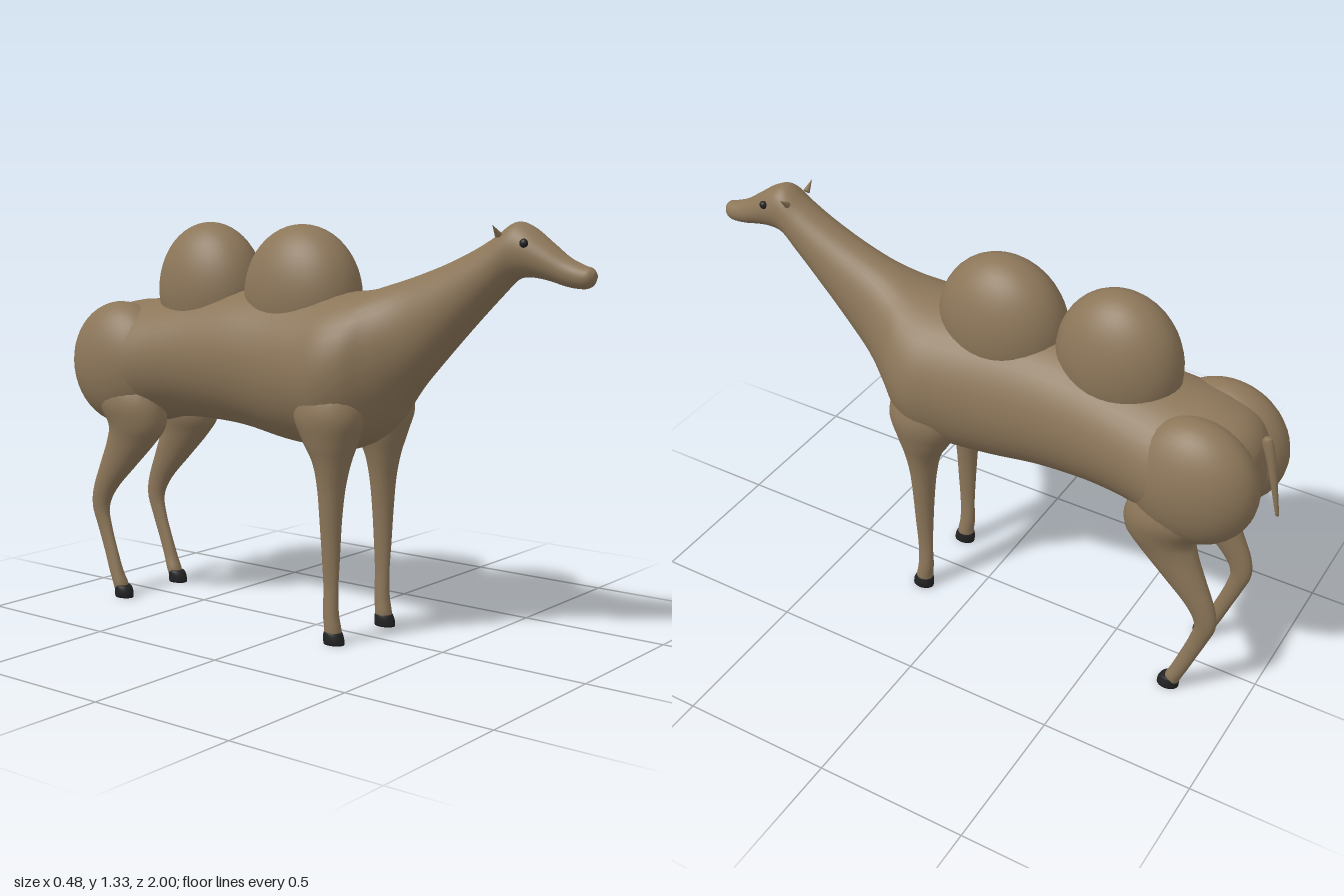
import * as THREE from 'three';

const hide = new THREE.MeshStandardMaterial({ color: 0x8c7659 });
hide.name = 'brownHide';
const dark = new THREE.MeshStandardMaterial({ color: 0x222222 });
dark.name = 'darkHoof';

// Smooth skin through oval sections [along, hLow, hHigh, xLow, xHigh].
// place(x, h, along) turns section coordinates into a point.
function loft(sections, place, rings = 60, sides = 32) {
  const heights = new THREE.CatmullRomCurve3(
    sections.map(s => new THREE.Vector3(s[0], s[1], s[2])), false, 'catmullrom', 0.5);
  const widths = new THREE.CatmullRomCurve3(
    sections.map(s => new THREE.Vector3(s[0], s[3], s[4])), false, 'catmullrom', 0.5);
  const pos = [], idx = [];
  for (let i = 0; i <= rings; i++) {
    const h = heights.getPoint(i / rings), w = widths.getPoint(i / rings);
    for (let j = 0; j < sides; j++) {
      const t = j / sides * Math.PI * 2;
      pos.push(...place(
        (w.y + w.z) / 2 + (w.z - w.y) / 2 * Math.cos(t),
        (h.y + h.z) / 2 + (h.z - h.y) / 2 * Math.sin(t), h.x));
    }
  }
  for (let i = 0; i < rings; i++) {
    for (let j = 0; j < sides; j++) {
      const k = (j + 1) % sides;
      const a = i * sides + j, b = i * sides + k, c = b + sides, d = a + sides;
      idx.push(a, b, c, a, c, d);
    }
  }
  // close both ends with a centre point
  for (const end of [0, 1]) {
    const s = sections[end ? sections.length - 1 : 0];
    const centre = pos.length / 3, base = end * rings * sides;
    pos.push(...place((s[3] + s[4]) / 2, (s[1] + s[2]) / 2, s[0]));
    for (let j = 0; j < sides; j++) {
      const k = (j + 1) % sides;
      if (end) idx.push(centre, base + j, base + k);
      else idx.push(centre, base + k, base + j);
    }
  }
  const geo = new THREE.BufferGeometry();
  geo.setAttribute('position', new THREE.Float32BufferAttribute(pos, 3));
  geo.setIndex(idx);
  geo.computeVertexNormals();
  return geo;
}

const alongZ = (x, h, a) => [x, h, a];
const alongY = (x, h, a) => [x, a, h];

export function createModel() {
  const model = new THREE.Group();
  model.name = 'camel';

  function add(name, geo, mat, x = 0, y = 0, z = 0) {
    const mesh = new THREE.Mesh(geo, mat);
    mesh.name = name;
    mesh.position.set(x, y, z);
    model.add(mesh);
    return mesh;
  }
  function ellipsoid(name, mat, x, y, z, rx, ry, rz) {
    const geo = new THREE.SphereGeometry(1, 36, 24).scale(rx, ry, rz);
    return add(name, geo, mat, x, y, z);
  }

  // Body, neck and head in one skin: [z, bottom, top, half width]
  const trunk = [
    [-0.935, 0.80, 0.88, 0.03], [-0.92, 0.73, 0.95, 0.10], [-0.87, 0.67, 1.005, 0.17],
    [-0.78, 0.63, 1.035, 0.215], [-0.68, 0.62, 1.045, 0.228], [-0.56, 0.645, 1.06, 0.215],
    [-0.42, 0.65, 1.08, 0.204], [-0.25, 0.64, 1.10, 0.204], [-0.08, 0.612, 1.10, 0.208],
    [0.06, 0.602, 1.10, 0.222], [0.16, 0.605, 1.105, 0.234], [0.24, 0.64, 1.115, 0.21],
    [0.31, 0.70, 1.135, 0.16], [0.39, 0.80, 1.16, 0.12], [0.50, 0.92, 1.20, 0.098],
    [0.60, 1.025, 1.245, 0.085], [0.68, 1.105, 1.29, 0.076], [0.74, 1.16, 1.33, 0.07],
    [0.79, 1.172, 1.318, 0.065], [0.85, 1.165, 1.277, 0.053], [0.91, 1.15, 1.235, 0.041],
    [0.96, 1.145, 1.213, 0.035], [0.985, 1.152, 1.206, 0.027], [0.998, 1.17, 1.193, 0.011],
  ].map(([z, lo, hi, w]) => [z, lo, hi, -w, w]);
  add('bodyNeckAndHead', loft(trunk, alongZ, 115, 40), hide);

  // Humps
  ellipsoid('frontHump', hide, 0, 1.08, -0.055, 0.147, 0.23, 0.215);
  ellipsoid('rearHump', hide, 0, 1.08, -0.45, 0.142, 0.23, 0.202);

  // Legs: [y, z back, z front, x inner, x outer], from the top down
  const frontLeg = [
    [0.86, 0.06, 0.24, 0.07, 0.19], [0.74, 0.03, 0.28, 0.04, 0.225],
    [0.65, 0.065, 0.255, 0.055, 0.212], [0.58, 0.105, 0.23, 0.075, 0.194],
    [0.50, 0.122, 0.213, 0.092, 0.181], [0.40, 0.13, 0.204, 0.105, 0.172],
    [0.28, 0.136, 0.199, 0.115, 0.161], [0.18, 0.14, 0.194, 0.12, 0.154],
    [0.10, 0.14, 0.194, 0.115, 0.159], [0.05, 0.145, 0.202, 0.11, 0.162],
    [0.02, 0.145, 0.205, 0.112, 0.16],
  ];
  const hindLeg = [
    [0.80, -0.87, -0.62, 0.06, 0.20], [0.70, -0.85, -0.57, 0.045, 0.222],
    [0.62, -0.80, -0.565, 0.055, 0.208], [0.56, -0.81, -0.605, 0.075, 0.193],
    [0.47, -0.848, -0.695, 0.095, 0.18], [0.38, -0.885, -0.785, 0.11, 0.169],
    [0.31, -0.894, -0.823, 0.116, 0.162], [0.24, -0.872, -0.812, 0.12, 0.156],
    [0.16, -0.842, -0.786, 0.121, 0.156], [0.09, -0.816, -0.762, 0.118, 0.16],
    [0.05, -0.80, -0.745, 0.112, 0.162], [0.02, -0.79, -0.74, 0.114, 0.16],
  ];
  // Hoof: low rounded pad with a flat sole
  const hoof = z => [
    [0.042, z - 0.028, z + 0.018, 0.113, 0.16], [0.036, z - 0.034, z + 0.028, 0.109, 0.164],
    [0.018, z - 0.036, z + 0.036, 0.108, 0.166], [0, z - 0.035, z + 0.038, 0.11, 0.164],
  ];
  const mirrorX = rows => rows.map(([y, b, f, i, o]) => [y, b, f, -o, -i]);

  for (const side of [1, -1]) {
    const label = side > 0 ? 'left' : 'right';
    const put = (name, rows, mat, rings) =>
      add(label + name, loft(side > 0 ? rows : mirrorX(rows), alongY, rings, 24), mat);
    put('FrontLeg', frontLeg, hide, 44);
    put('HindLeg', hindLeg, hide, 48);
    put('FrontHoof', hoof(0.178), dark, 8);
    put('HindHoof', hoof(-0.755), dark, 8);

    // Rounded haunch
    ellipsoid(label + 'Haunch', hide, side * 0.112, 0.825, -0.76, 0.13, 0.212, 0.208);

    // Eye and ear
    ellipsoid(label + 'Eye', dark, side * 0.06, 1.272, 0.798, 0.011, 0.013, 0.013);
    const ear = add(label + 'Ear', new THREE.ConeGeometry(0.011, 0.045, 10), hide,
      side * 0.068, 1.308, 0.708);
    ear.rotation.z = -side * 0.85;
  }

  // Tail: slim strand hanging behind the rump
  const tail = [
    [0.975, -0.945, -0.925, -0.010, 0.010], [0.955, -0.955, -0.918, -0.013, 0.013],
    [0.90, -0.968, -0.938, -0.013, 0.013], [0.82, -0.982, -0.96, -0.010, 0.010],
    [0.75, -0.993, -0.978, -0.008, 0.008], [0.71, -0.999, -0.988, -0.006, 0.006],
  ];
  add('tail', loft(tail, alongY, 20, 12), hide);

  return model;
}
